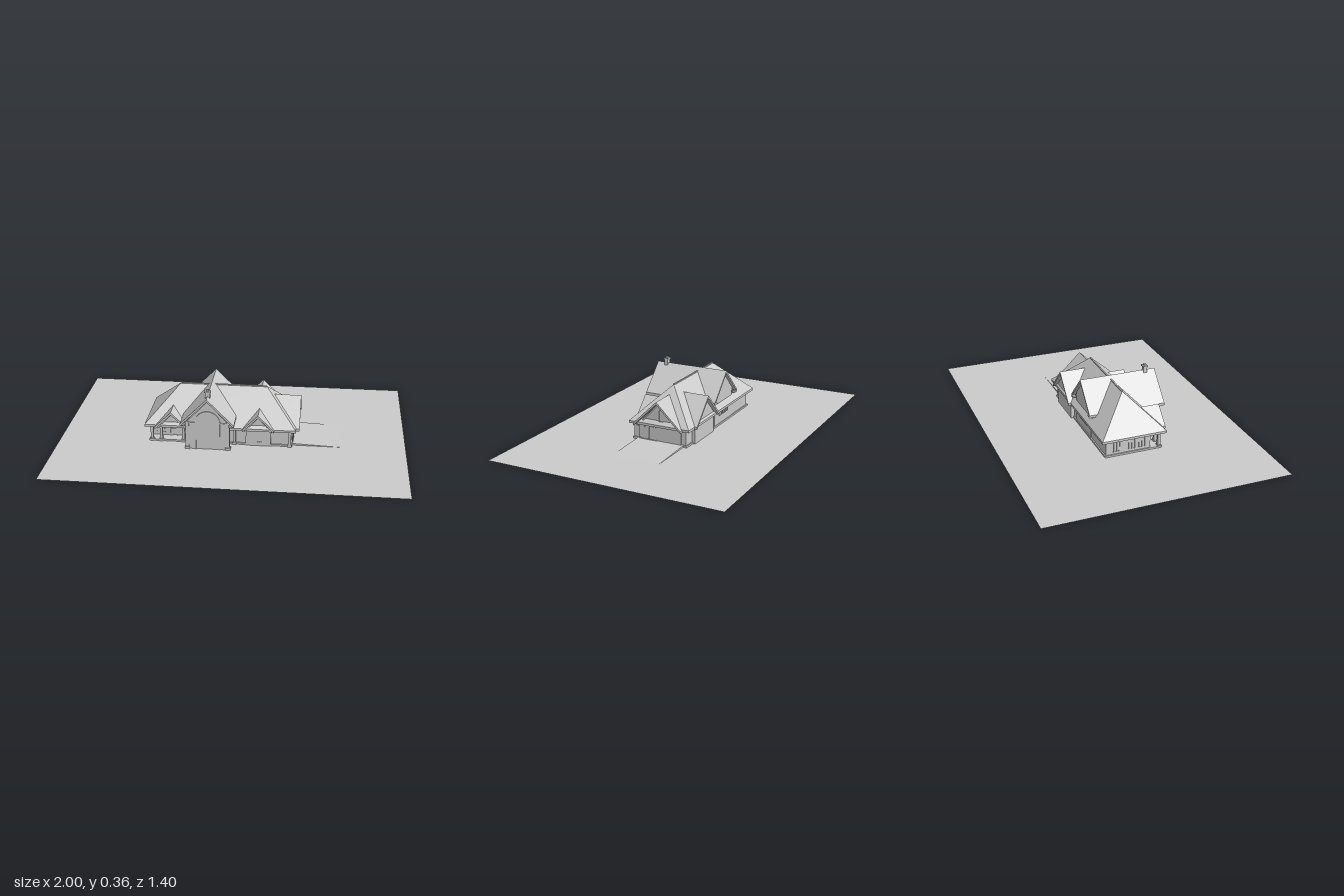
import * as THREE from 'three';

const material = new THREE.MeshStandardMaterial({ color: 0xcccccc, flatShading: true, side: THREE.DoubleSide });

export function createModel() {
  const model = new THREE.Group();

  const add = (name, geometry, parent = model) => {
    const mesh = new THREE.Mesh(geometry, material);
    mesh.name = name;
    parent.add(mesh);
    return mesh;
  };

  // Box given by its limits on each axis
  const block = (name, x0, x1, y0, y1, z0, z1, parent = model) => {
    const mesh = add(name, new THREE.BoxGeometry(x1 - x0, y1 - y0, z1 - z0), parent);
    mesh.position.set((x0 + x1) / 2, (y0 + y1) / 2, (z0 + z1) / 2);
    return mesh;
  };

  // Outline in x and y, extruded from z0 to z1
  const prism = (name, points, z0, z1, parent) => {
    const shape = new THREE.Shape(points.map(([x, y]) => new THREE.Vector2(x, y)));
    const mesh = add(name, new THREE.ExtrudeGeometry(shape, { depth: z1 - z0, bevelEnabled: false }), parent);
    mesh.position.z = z0;
    return mesh;
  };

  // Gabled block along z: pitched roof slab, bargeboard and pentagonal wall
  const gable = (name, { cx, half, eave, ridge, z0, z1, wall, wz0, wz1, base = 0 }) => {
    const group = new THREE.Group();
    group.name = name;
    group.position.x = cx;
    model.add(group);
    const t = 0.015;
    const chevron = (h, drop, thick) => [
      [-h, eave - drop], [0, ridge - drop], [h, eave - drop],
      [h, eave - drop - thick], [0, ridge - drop - thick], [-h, eave - drop - thick]];
    prism(name + 'Roof', chevron(half, 0, t), z0, z1, group);
    const slope = (ridge - eave) / half;
    const top = ridge - t * 0.6;
    prism(name + 'Wall', [[-wall, base], [wall, base], [wall, top - wall * slope], [0, top], [-wall, top - wall * slope]],
      wz0, wz1, group);
    // Trim following the slope on the wall face
    prism(name + 'Trim', chevron(half - 0.012, t, 0.01), wz0, wz1 + 0.008, group);
    return group;
  };

  // Framed opening on the +z face of a parent
  const opening = (name, cx, y0, w, h, z, parent = model, bars = 1) => {
    const f = 0.004;
    block(name + 'Pane', cx - w / 2, cx + w / 2, y0, y0 + h, z - 0.002, z + 0.001, parent);
    for (let i = 0; i <= bars + 1; i++) {
      const x = cx - w / 2 + (w * i) / (bars + 1);
      block(name + 'Upright', x - f / 2, x + f / 2, y0, y0 + h, z, z + f, parent);
    }
    for (const y of [y0, y0 + h]) block(name + 'Rail', cx - w / 2 - f, cx + w / 2 + f, y - f / 2, y + f / 2, z, z + f, parent);
  };

  const column = (x, z, top, s = 0.008) => {
    block('column', x - s, x + s, 0, top, z - s, z + s);
    block('columnBase', x - s * 1.5, x + s * 1.5, 0, 0.014, z - s * 1.5, z + s * 1.5);
    block('columnCap', x - s * 1.4, x + s * 1.4, top - 0.01, top, z - s * 1.4, z + s * 1.4);
  };

  // Ground sheet
  const ground = add('ground', new THREE.PlaneGeometry(2, 1.4));
  ground.rotation.x = -Math.PI / 2;

  // Driveway falling away from the right end
  prism('driveway', [[0.34, 0], [0.64, 0], [0.34, 0.011]], -0.14, 0.15, model);

  // Main body, with the front left corner left open as a porch
  block('mainWalls', -0.25, 0.345, 0, 0.11, -0.155, 0.165);
  block('leftWalls', -0.47, -0.25, 0, 0.11, -0.155, 0.11);
  block('plinth', -0.478, 0.352, 0, 0.01, -0.162, 0.172);

  // Hipped main roof: a box whose top row is drawn in to the ridge
  const hip = new THREE.BoxGeometry(1, 1, 1, 1, 2, 1);
  const p = hip.attributes.position;
  for (let i = 0; i < p.count; i++) {
    const right = p.getX(i) > 0, front = p.getZ(i) > 0, row = Math.round(p.getY(i) * 2);
    if (row === 1) p.setXYZ(i, right ? 0.19 : -0.31, 0.302, 0.005);
    else p.setXYZ(i, right ? 0.372 : -0.5, row === 0 ? 0.112 : 0.098, front ? 0.195 : -0.185);
  }
  const hipFlat = hip.toNonIndexed();
  hipFlat.computeVertexNormals();
  add('mainRoof', hipFlat);
  block('ridgeCap', -0.31, 0.19, 0.298, 0.304, 0.001, 0.009);

  // Tall cross gable through the house, front and back
  const hall = gable('hall', { cx: -0.127, half: 0.153, eave: 0.167, ridge: 0.322, z0: -0.177, z1: 0.28,
    wall: 0.118, wz0: -0.158, wz1: 0.25 });

  // Arched surround on the hall front
  const arch = new THREE.Shape();
  arch.absarc(0, 0.165, 0.072, 0, Math.PI, false);
  arch.lineTo(-0.064, 0.165);
  arch.absarc(0, 0.165, 0.064, Math.PI, 0, true);
  const archMesh = add('archTrim', new THREE.ExtrudeGeometry(arch, { depth: 0.006, bevelEnabled: false, curveSegments: 20 }), hall);
  archMesh.position.z = 0.25;
  for (const s of [-1, 1]) {
    const a = s * 0.068, b = s * 0.1;
    block('archShoulder', Math.min(a, b), Math.max(a, b), 0.162, 0.168, 0.25, 0.256, hall);
    block('archJamb', a - 0.003, a + 0.003, 0, 0.165, 0.25, 0.256, hall);
    column(-0.127 + s * 0.116, 0.243, 0.17, 0.01);
    // Roof end brackets
    for (const z of [0.262, -0.168]) block('eaveBracket', s * 0.136 - 0.012, s * 0.136 + 0.012, 0.152, 0.164, z - 0.01, z + 0.01, hall);
  }

  // Chimney on the front end of the hall ridge
  block('chimney', -0.141, -0.113, 0.29, 0.345, 0.208, 0.23);
  block('chimneyCap', -0.145, -0.109, 0.342, 0.35, 0.204, 0.234);
  block('chimneyPot', -0.135, -0.119, 0.35, 0.358, 0.212, 0.226);

  // Two small front gables
  gable('porchGable', { cx: -0.343, half: 0.095, eave: 0.108, ridge: 0.202, z0: 0.05, z1: 0.215,
    wall: 0.078, wz0: 0.15, wz1: 0.18, base: 0.1 });
  const bay = gable('bayGable', { cx: 0.157, half: 0.09, eave: 0.112, ridge: 0.203, z0: 0.05, z1: 0.21,
    wall: 0.072, wz0: 0.1, wz1: 0.178 });
  opening('bayWindow', 0, 0.025, 0.03, 0.09, 0.178, bay);
  for (const x of [-0.462, -0.408, -0.278]) column(x, 0.165, 0.1);
  for (const x of [0.018, 0.338]) column(x, 0.168, 0.1);

  // Porch door and window
  opening('porchDoor', -0.345, 0.01, 0.04, 0.09, 0.11);
  block('porchDoorRail', -0.365, -0.325, 0.05, 0.054, 0.11, 0.115);
  opening('porchWindow', -0.42, 0.03, 0.04, 0.05, 0.11);

  // Rear gable
  gable('rearGable', { cx: 0.157, half: 0.142, eave: 0.112, ridge: 0.255, z0: -0.2, z1: -0.02,
    wall: 0.118, wz0: -0.175, wz1: -0.03 });

  // Right wing gable, facing +x
  const wing = gable('wing', { cx: 0, half: 0.15, eave: 0.108, ridge: 0.254, z0: 0.17, z1: 0.392,
    wall: 0.135, wz0: 0.2, wz1: 0.352 });
  wing.rotation.y = Math.PI / 2;
  wing.position.z = 0.008;
  opening('garageDoor', -0.075, 0.012, 0.1, 0.1, 0.352, wing, 0);
  opening('garagePanel', -0.068, 0.012, 0.055, 0.085, 0.353, wing);
  opening('gableVent', 0.008, 0.13, 0.02, 0.065, 0.352, wing, 0);

  // Rear and left windows share one turned frame each
  const rear = new THREE.Group();
  rear.name = 'rearWindows';
  rear.rotation.y = Math.PI;
  model.add(rear);
  opening('rearHallWindow', 0.127, 0.06, 0.11, 0.045, 0.158, rear, 4);
  const leftEnd = new THREE.Group();
  leftEnd.name = 'leftWindows';
  leftEnd.rotation.y = -Math.PI / 2;
  model.add(leftEnd);
  for (const z of [-0.09, 0, 0.06]) opening('leftWindow', z, 0.025, 0.035, 0.065, 0.47, leftEnd);

  return model;
}
